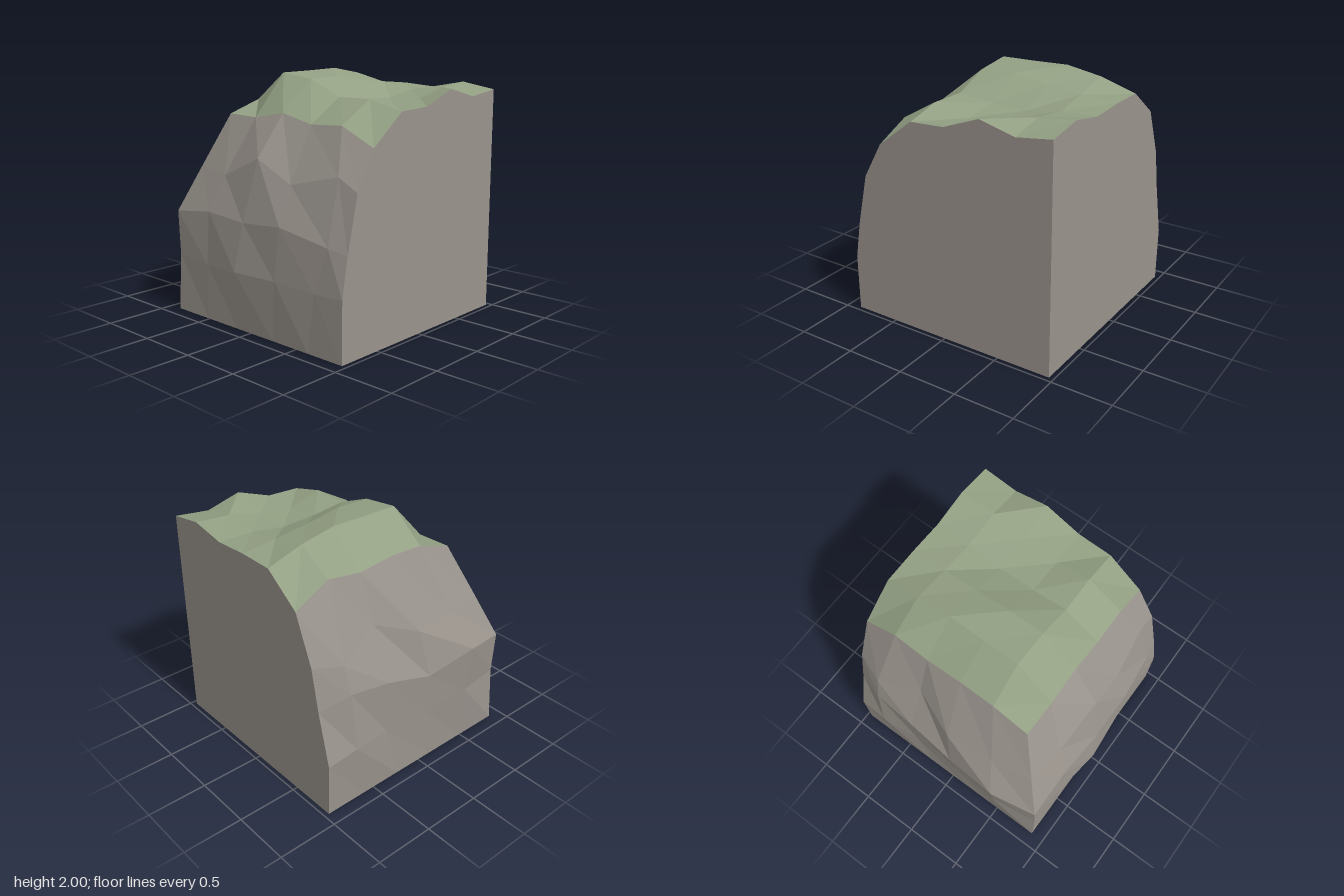
import * as THREE from 'three';

const grass = new THREE.MeshStandardMaterial({ name: 'mossGreen', color: 0x93a083, side: THREE.DoubleSide, flatShading: true });
const rock = new THREE.MeshStandardMaterial({ name: 'rockGrey', color: 0x99938c, side: THREE.DoubleSide, flatShading: true });

// Shared grid lines of the plateau
const xs = [-0.56, -0.26, 0.05, 0.35, 0.66, 0.96];
const zs = [-0.96, -0.66, -0.36, -0.05, 0.25, 0.56];

// Plateau heights, from the back row to the front row
const heights = [
  [1.64, 1.86, 1.86, 1.84, 1.895, 1.845],
  [1.79, 1.95, 1.88, 1.83, 1.865, 1.805],
  [1.74, 2.0, 1.91, 1.78, 1.79, 1.88],
  [1.77, 1.99, 1.955, 1.79, 1.75, 1.765],
  [1.755, 1.985, 1.945, 1.82, 1.825, 1.75],
  [1.655, 1.645, 1.7, 1.635, 1.65, 1.515],
];

// Front corner ridge, shared by both cliffs
const corner = [[-0.73, 1.23, 0.73], [-0.88, 0.85, 0.88], [-0.86, 0.48, 0.88], [-0.89, 0, 0.885]];

// Cliff rows below the rim, from top to ground
const frontRows = [
  [corner[0], [-0.4, 1.19, 0.77], [0.02, 1.37, 0.8], [0.36, 1.21, 0.79], [0.78, 1.31, 0.73], [0.96, 1.22, 0.73]],
  [corner[1], [-0.48, 0.9, 0.88], [-0.04, 0.88, 0.91], [0.36, 0.91, 0.91], [0.8, 0.82, 0.86], [0.96, 0.79, 0.83]],
  [corner[2], [-0.49, 0.46, 0.9], [-0.1, 0.49, 0.955], [0.31, 0.49, 0.92], [0.69, 0.47, 0.89], [0.96, 0.48, 0.885]],
  [corner[3], ...[-0.51, -0.15, 0.25, 0.62, 0.96].map((x) => [x, 0, 0.885])],
];
const leftRows = [
  [[-0.72, 1.25, -0.96], [-0.81, 1.21, -0.73], [-0.7, 1.36, -0.36], [-0.84, 1.22, 0], [-0.8, 1.22, 0.4], corner[0]],
  [[-0.79, 0.9, -0.96], [-0.87, 0.99, -0.72], [-0.89, 0.94, -0.36], [-0.92, 0.83, 0.05], [-0.96, 0.91, 0.5], corner[1]],
  [[-0.9, 0.46, -0.96], [-0.92, 0.51, -0.7], [-0.88, 0.48, -0.36], [-0.9, 0.47, 0.05], [-0.92, 0.5, 0.48], corner[2]],
  [...[-0.96, -0.6, -0.24, 0.14, 0.5].map((z) => [-0.89, 0, z]), corner[3]],
];

function meshFrom(name, positions, material) {
  const geo = new THREE.BufferGeometry();
  geo.setAttribute('position', new THREE.Float32BufferAttribute(positions.flat(), 3));
  geo.computeVertexNormals();
  const mesh = new THREE.Mesh(geo, material);
  mesh.name = name;
  return mesh;
}

// Faceted sheet across rows of points
function sheet(name, rows, material) {
  const tris = [];
  for (let r = 0; r < rows.length - 1; r++) {
    for (let c = 0; c < rows[r].length - 1; c++) {
      const a = rows[r][c], b = rows[r + 1][c], d = rows[r + 1][c + 1], e = rows[r][c + 1];
      tris.push(a, b, d, a, d, e);
    }
  }
  return meshFrom(name, tris, material);
}

// Flat panel fanned from its bottom corner to an outline
function panel(name, base, outline, material) {
  const tris = [];
  for (let i = 0; i < outline.length - 1; i++) tris.push(base, outline[i], outline[i + 1]);
  return meshFrom(name, tris, material);
}

export function createModel() {
  const group = new THREE.Group();
  group.name = 'cliffCorner';

  const top = heights.map((row, r) => row.map((y, c) => [xs[c], y, zs[r]]));
  const front = [top[5], ...frontRows];
  const left = [top.map((row) => row[0]), ...leftRows];

  group.add(sheet('grassTop', top, grass));
  group.add(sheet('frontCliff', front, rock));
  group.add(sheet('leftCliff', left, rock));

  // Flat cut sides; the underside stays open
  const base = [0.96, 0, -0.96];
  const sideOutline = [...top.map((row) => row[5]), ...frontRows.map((row) => row[5])];
  const backOutline = [...leftRows.map((row) => row[0]).reverse(), ...top[0]];
  group.add(panel('sideWall', base, sideOutline, rock));
  group.add(panel('backWall', base, backOutline, rock));
  return group;
}
